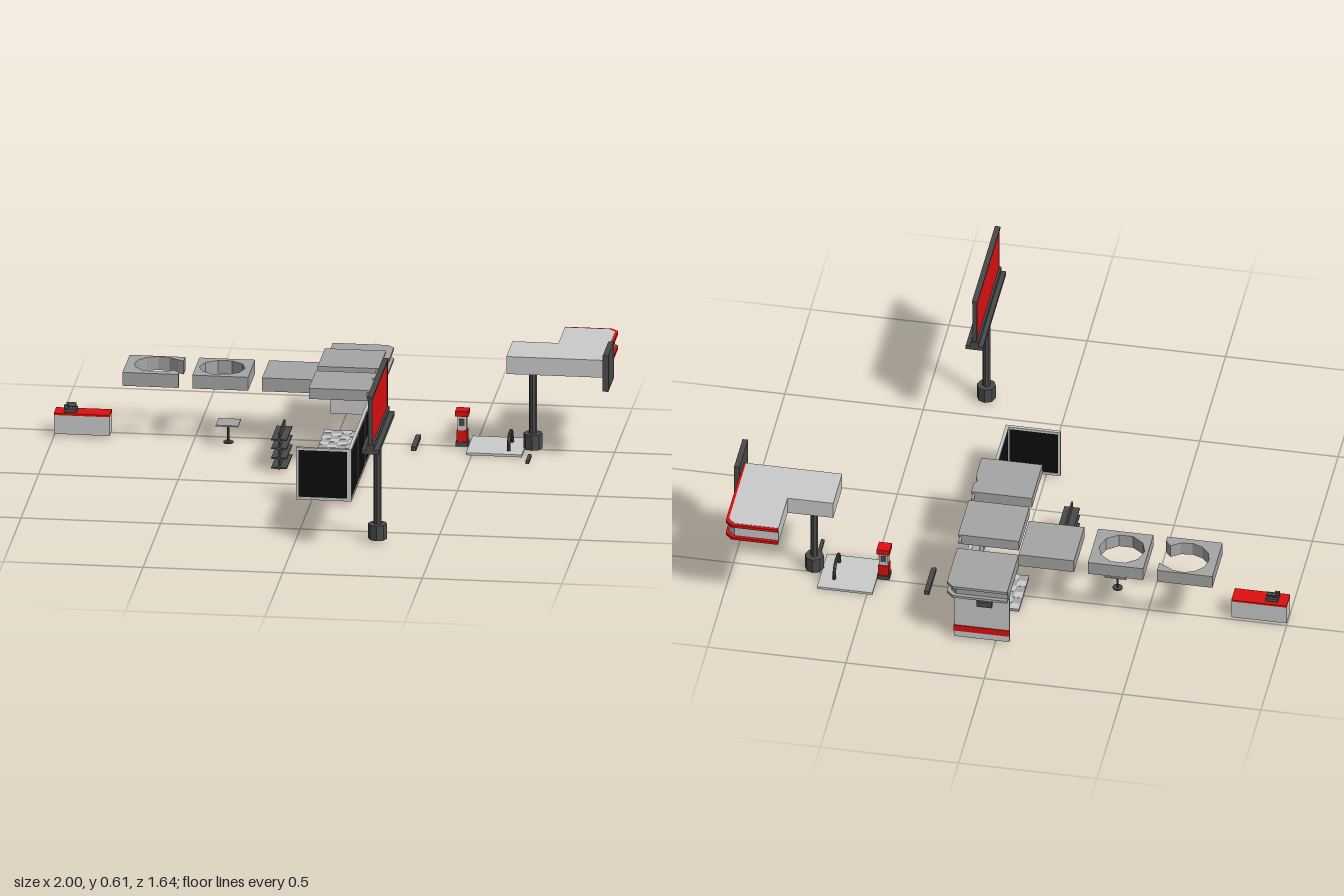
import * as THREE from 'three';

const mat = (color) => new THREE.MeshStandardMaterial({ color, flatShading: true, side: THREE.DoubleSide });
const grey = mat(0xcccccc), roofGrey = mat(0xa6a6a6), dark = mat(0x4a4a4a), black = mat(0x0c0c0c), red = mat(0xe01010);

function mesh(parent, name, geometry, material) {
  const m = new THREE.Mesh(geometry, material);
  m.name = name;
  parent.add(m);
  return m;
}

// Box given by its limits on each axis
function box(parent, name, [x0, x1], [y0, y1], [z0, z1], material = grey) {
  const m = mesh(parent, name, new THREE.BoxGeometry(x1 - x0, y1 - y0, z1 - z0), material);
  m.position.set((x0 + x1) / 2, (y0 + y1) / 2, (z0 + z1) / 2);
  return m;
}

function cylinder(parent, name, x, z, y0, y1, r, sides = 8, material = dark) {
  const m = mesh(parent, name, new THREE.CylinderGeometry(r, r, y1 - y0, sides), material);
  m.position.set(x, (y0 + y1) / 2, z);
  return m;
}

// Slab from an outline of [x, z] points, with an optional hole
function slab(parent, name, points, y0, y1, material, hole) {
  const toV = ([x, z]) => new THREE.Vector2(x, -z);
  const shape = new THREE.Shape(points.map(toV));
  if (hole) shape.holes.push(new THREE.Path(hole.map(toV)));
  const g = new THREE.ExtrudeGeometry(shape, { depth: y1 - y0, bevelEnabled: false });
  g.rotateX(-Math.PI / 2);
  mesh(parent, name, g, material).position.y = y0;
}

// Points of a circular arc in the ground plane
function arc(x, z, r, from, to, n) {
  return Array.from({ length: n + 1 }, (_, i) => {
    const a = (from + (to - from) * i / n) * Math.PI / 180;
    return [x + r * Math.cos(a), z + r * Math.sin(a)];
  });
}

const rect = (x0, x1, z0, z1) => [[x0, z0], [x1, z0], [x1, z1], [x0, z1]];
const cutCorner = (x0, x1, z0, z1, c) => [[x0, z0], [x1 - c, z0], [x1, z0 + c], [x1, z1], [x0, z1]];

function group(root, name) {
  const g = new THREE.Group();
  g.name = name;
  root.add(g);
  return g;
}

// Slab whose outer edge is recessed between two protruding bands
function corniceRoof(parent, name, outer, inner, y0, y1, bandMat, coreMat) {
  const b = (y1 - y0) * 0.2;
  slab(parent, name + 'Core', inner, y0 + b, y1 - b, coreMat);
  slab(parent, name + 'LowerBand', outer, y0, y0 + b, bandMat);
  slab(parent, name + 'UpperBand', outer, y1 - b, y1, bandMat);
}

// Framed dark glass in a wall along z (at x) or along x (at z)
function windowPanel(parent, axis, at, a, b) {
  const t = [at - 0.006, at + 0.006], g = [at - 0.004, at + 0.004], f = 0.009;
  const put = (name, span, y, thick, m) => axis === 'z'
    ? box(parent, name, thick, y, span, m) : box(parent, name, span, y, thick, m);
  put('windowGlass', [a + f, b - f], [0.022, 0.197], g, black);
  put('windowSill', [a, b], [0.012, 0.022], t, grey);
  put('windowHead', [a, b], [0.197, 0.206], t, grey);
  put('windowJamb', [a, a + f], [0.022, 0.197], t, grey);
  put('windowJamb', [b - f, b], [0.022, 0.197], t, grey);
}

export function createModel() {
  const root = new THREE.Group();
  root.name = 'fuelStationKit';

  // Shop counter and till
  const counter = group(root, 'counter');
  box(counter, 'counterBody', [-1, -0.8], [0.01, 0.08], [-0.5, -0.43]);
  box(counter, 'counterTop', [-1, -0.8], [0.08, 0.087], [-0.5, -0.43], red);
  box(counter, 'tillBase', [-0.965, -0.92], [0.087, 0.1], [-0.485, -0.445], dark);
  box(counter, 'tillScreen', [-0.96, -0.925], [0.1, 0.116], [-0.478, -0.468], dark).rotation.x = -0.4;
  box(counter, 'tillDisplay', [-0.966, -0.95], [0.1, 0.112], [-0.46, -0.45], dark);

  // Flat roof tiles: broken, pierced and whole
  const roofs = group(root, 'roofs');
  slab(roofs, 'brokenRoof', [[-0.55, -0.4], [-0.75, -0.4], [-0.75, -0.6], [-0.55, -0.6], [-0.55, -0.555],
    ...arc(-0.635, -0.508, 0.086, -42, -318, 10), [-0.55, -0.425]], 0.21, 0.26, roofGrey);
  slab(roofs, 'piercedRoof', rect(-0.5, -0.3, -0.6, -0.4), 0.21, 0.26, roofGrey,
    arc(-0.405, -0.5, 0.082, 0, 324, 9));
  box(roofs, 'flatRoof', [-0.25, -0.05], [0.21, 0.26], [-0.6, -0.4], roofGrey);

  // Edge roofs with a cornice on the outer side
  corniceRoof(roofs, 'edgeRoof', rect(-0.05, 0.17, -0.595, -0.39), rect(-0.05, 0.158, -0.595, -0.39),
    0.275, 0.315, roofGrey, roofGrey);
  corniceRoof(roofs, 'damagedRoof',
    [[-0.05, -0.34], [0.17, -0.34], [0.17, -0.29], [0.16, -0.275], [0.164, -0.262], [0.17, -0.25], [0.17, -0.14], [-0.05, -0.14]],
    rect(-0.05, 0.158, -0.34, -0.14), 0.275, 0.315, roofGrey, roofGrey);
  corniceRoof(roofs, 'cornerRoof', cutCorner(-0.05, 0.172, -0.825, -0.602, 0.025),
    cutCorner(-0.05, 0.158, -0.811, -0.602, 0.02), 0.21, 0.26, roofGrey, roofGrey);

  // Shop front: glazed panels and an open doorway
  const shop = group(root, 'shopWalls');
  windowPanel(shop, 'z', 0.14, 0.01, 0.205);
  windowPanel(shop, 'z', 0.14, -0.19, 0.01);
  windowPanel(shop, 'z', 0.14, -0.292, -0.19);
  windowPanel(shop, 'x', 0.199, -0.053, 0.14);
  box(shop, 'doorHead', [0.134, 0.146], [0.2, 0.206], [-0.385, -0.292]);
  box(shop, 'doorSill', [0.134, 0.146], [0.012, 0.016], [-0.385, -0.292]);

  // Solid walls with a red stripe and a vent at the back
  box(shop, 'sideWall', [0.133, 0.147], [0.012, 0.206], [-0.79, -0.382]);
  box(shop, 'backWall', [-0.052, 0.133], [0.012, 0.206], [-0.79, -0.776]);
  box(shop, 'sideStripe', [0.146, 0.149], [0.038, 0.063], [-0.792, -0.382], red);
  box(shop, 'backStripe', [-0.052, 0.149], [0.038, 0.063], [-0.793, -0.789], red);
  box(shop, 'backVent', [0.01, 0.065], [0.165, 0.188], [-0.804, -0.79], dark);

  // Chequered floor tile
  const floor = group(root, 'floor');
  box(floor, 'floorSlab', [-0.05, 0.15], [0, 0.01], [-0.595, -0.395], roofGrey);
  for (let i = 0; i < 6; i++) for (let j = i % 2; j < 6; j += 2) {
    const s = 0.2 / 6, x = -0.05 + i * s, z = -0.595 + j * s;
    box(floor, 'floorTile', [x, x + s], [0.01, 0.011], [z, z + s]);
  }

  // Table
  const table = group(root, 'table');
  box(table, 'tableTop', [-0.412, -0.332], [0.082, 0.087], [-0.448, -0.368], roofGrey);
  cylinder(table, 'tablePost', -0.372, -0.408, 0.015, 0.082, 0.004);
  cylinder(table, 'tableFoot', -0.372, -0.408, 0.01, 0.016, 0.018);

  // Double-sided goods shelf
  const shelf = group(root, 'goodsShelf');
  box(shelf, 'shelfBack', [-0.157, -0.151], [0.012, 0.15], [-0.275, -0.12], dark);
  for (const y of [0.015, 0.052, 0.088, 0.12])
    box(shelf, 'shelfBoard', [-0.182, -0.126], [y, y + 0.005], [-0.275, -0.12], dark);

  // Tall roadside sign
  const sign = group(root, 'roadSign');
  cylinder(sign, 'signFoot', 0.29, 0.6, 0.01, 0.066, 0.034);
  cylinder(sign, 'signPost', 0.29, 0.6, 0.06, 0.4, 0.014);
  box(sign, 'signWalkway', [0.26, 0.322], [0.396, 0.412], [0.37, 0.82], dark);
  box(sign, 'signLowerRail', [0.276, 0.304], [0.412, 0.43], [0.37, 0.82], dark);
  box(sign, 'signPanel', [0.284, 0.296], [0.43, 0.602], [0.382, 0.808], red);
  box(sign, 'signTopRail', [0.28, 0.3], [0.602, 0.61], [0.37, 0.82], dark);
  for (const z of [0.378, 0.812])
    box(sign, 'signSideRail', [0.282, 0.298], [0.43, 0.602], [z - 0.004, z + 0.004], dark);

  // Kerbs
  box(root, 'kerb', [0.281, 0.299], [0.002, 0.018], [-0.56, -0.42], dark);
  box(root, 'smallKerb', [0.703, 0.715], [0.002, 0.014], [-0.4, -0.325], dark);

  // Fuel island, hoop barrier and pump
  const island = group(root, 'fuelIsland');
  box(island, 'islandPad', [0.48, 0.68], [0.001, 0.01], [-0.595, -0.4]);
  const hoopPath = new THREE.CatmullRomCurve3([[0.01, -0.54], [0.04, -0.537], [0.06, -0.52], [0.064, -0.49],
    [0.06, -0.46], [0.04, -0.443], [0.01, -0.44]].map(([y, z]) => new THREE.Vector3(0.628, y, z)));
  mesh(island, 'hoopBarrier', new THREE.TubeGeometry(hoopPath, 16, 0.006, 8), dark);

  const pump = group(root, 'fuelPump');
  box(pump, 'pumpBase', [0.434, 0.479], [0.01, 0.026], [-0.512, -0.468], dark);
  box(pump, 'pumpLowerBody', [0.438, 0.475], [0.026, 0.068], [-0.507, -0.472], red);
  box(pump, 'pumpUpperBody', [0.441, 0.472], [0.068, 0.122], [-0.504, -0.475]);
  box(pump, 'pumpCap', [0.433, 0.48], [0.122, 0.142], [-0.514, -0.466], red);
  for (const z of [-0.505, -0.474])
    box(pump, 'pumpDisplay', [0.447, 0.466], [0.085, 0.11], [z - 0.002, z + 0.002], dark);

  // Canopy with red edge bands
  const canopy = group(root, 'canopy');
  const lShape = (x1, zBack, c) => [[0.625, -0.575], [0.79, -0.575], [0.79, zBack],
    [x1 - c, zBack], [x1, zBack + c], [x1, -0.4], [0.625, -0.4]];
  slab(canopy, 'canopyBody', lShape(0.973, -0.753, 0.024), 0.311, 0.376, grey);
  const edge = [[0.79, -0.753], [0.79, -0.764], [0.958, -0.764], [0.983, -0.739], [0.983, -0.4],
    [0.973, -0.4], [0.973, -0.729], [0.949, -0.753]];
  slab(canopy, 'canopyLowerBand', edge, 0.31, 0.321, red);
  slab(canopy, 'canopyUpperBand', edge, 0.364, 0.375, red);
  cylinder(canopy, 'canopyFoot', 0.71, -0.485, 0.01, 0.066, 0.034);
  cylinder(canopy, 'canopyPost', 0.71, -0.485, 0.06, 0.312, 0.014);
  box(canopy, 'canopySign', [0.98, 1], [0.285, 0.42], [-0.485, -0.322], dark);

  return root;
}
